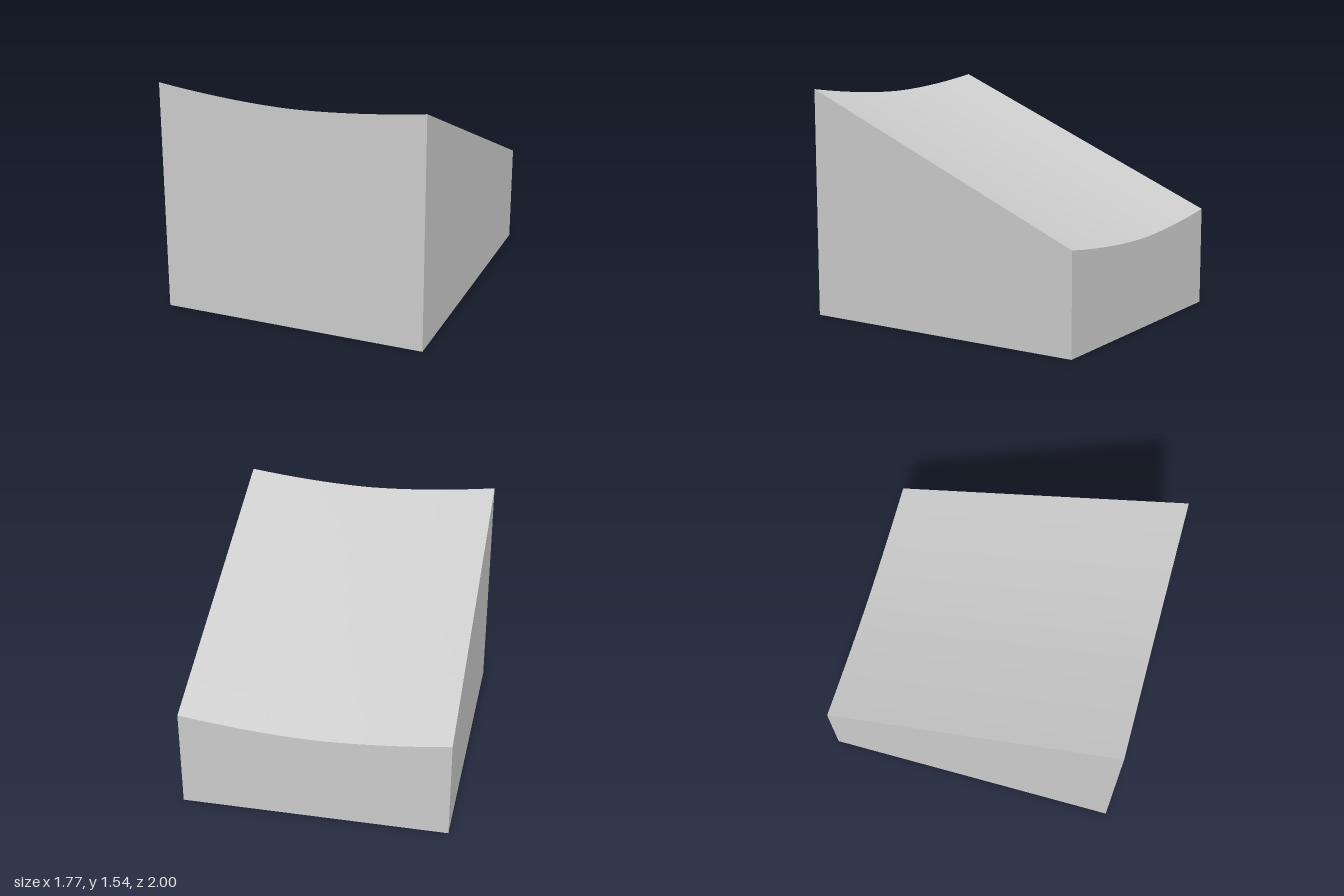
import * as THREE from 'three';

const WIDTH = 1.77, DEPTH = 2;
const FRONT_HEIGHT = 1.54, BACK_HEIGHT = 0.67, SAG = 0.07;

// Height of the sloping, dished top surface
function topHeight(x, z) {
  const slope = THREE.MathUtils.lerp(BACK_HEIGHT, FRONT_HEIGHT, z / DEPTH + 0.5);
  const across = Math.min(1, Math.abs(x) / (WIDTH / 2));
  return slope - SAG * (1 - Math.pow(across, 1.75));
}

export function createModel() {
  const group = new THREE.Group();
  group.name = 'wedgeBlock';

  // Box whose top vertices are lifted onto the sloping hollow
  const geometry = new THREE.BoxGeometry(WIDTH, 1, DEPTH, 32, 1, 8);
  const pos = geometry.attributes.position;
  for (let i = 0; i < pos.count; i++) {
    pos.setY(i, pos.getY(i) > 0 ? topHeight(pos.getX(i), pos.getZ(i)) : 0);
  }
  // Each box side has its own vertices, so edges stay sharp and the top smooth
  geometry.computeVertexNormals();

  const block = new THREE.Mesh(geometry, new THREE.MeshStandardMaterial({ color: 0xcccccc }));
  block.name = 'slopedBlock';
  group.add(block);
  return group;
}
